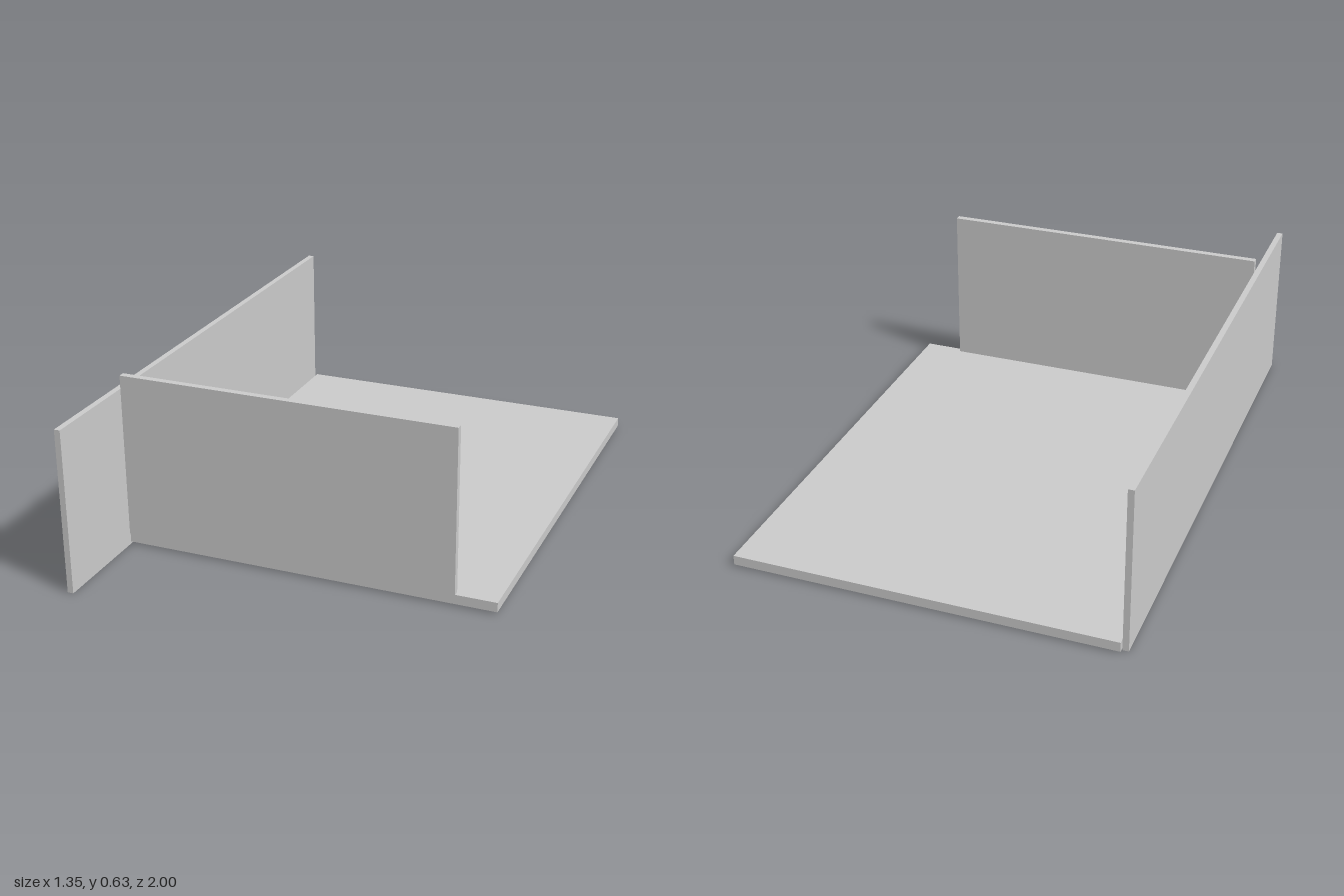
import * as THREE from 'three';

export function createModel() {
  const group = new THREE.Group();
  const material = new THREE.MeshStandardMaterial({ color: 0xcccccc });

  // Adds a box spanning the given [min, max] ranges
  function panel(name, [x0, x1], [y0, y1], [z0, z1]) {
    const mesh = new THREE.Mesh(new THREE.BoxGeometry(x1 - x0, y1 - y0, z1 - z0), material);
    mesh.position.set((x0 + x1) / 2, (y0 + y1) / 2, (z0 + z1) / 2);
    mesh.name = name;
    group.add(mesh);
  }

  // Flat base board, raised slightly above the side panel's lower edge
  panel('baseBoard', [-0.654, 0.675], [0.008, 0.042], [-1, 0.62]);
  // Long upright along the right edge, running past the front
  panel('sidePanel', [-0.675, -0.654], [0, 0.58], [-0.98, 1]);
  // Upright standing on the front edge of the base
  panel('frontPanel', [-0.654, 0.532], [0.042, 0.627], [0.6, 0.624]);

  return group;
}
